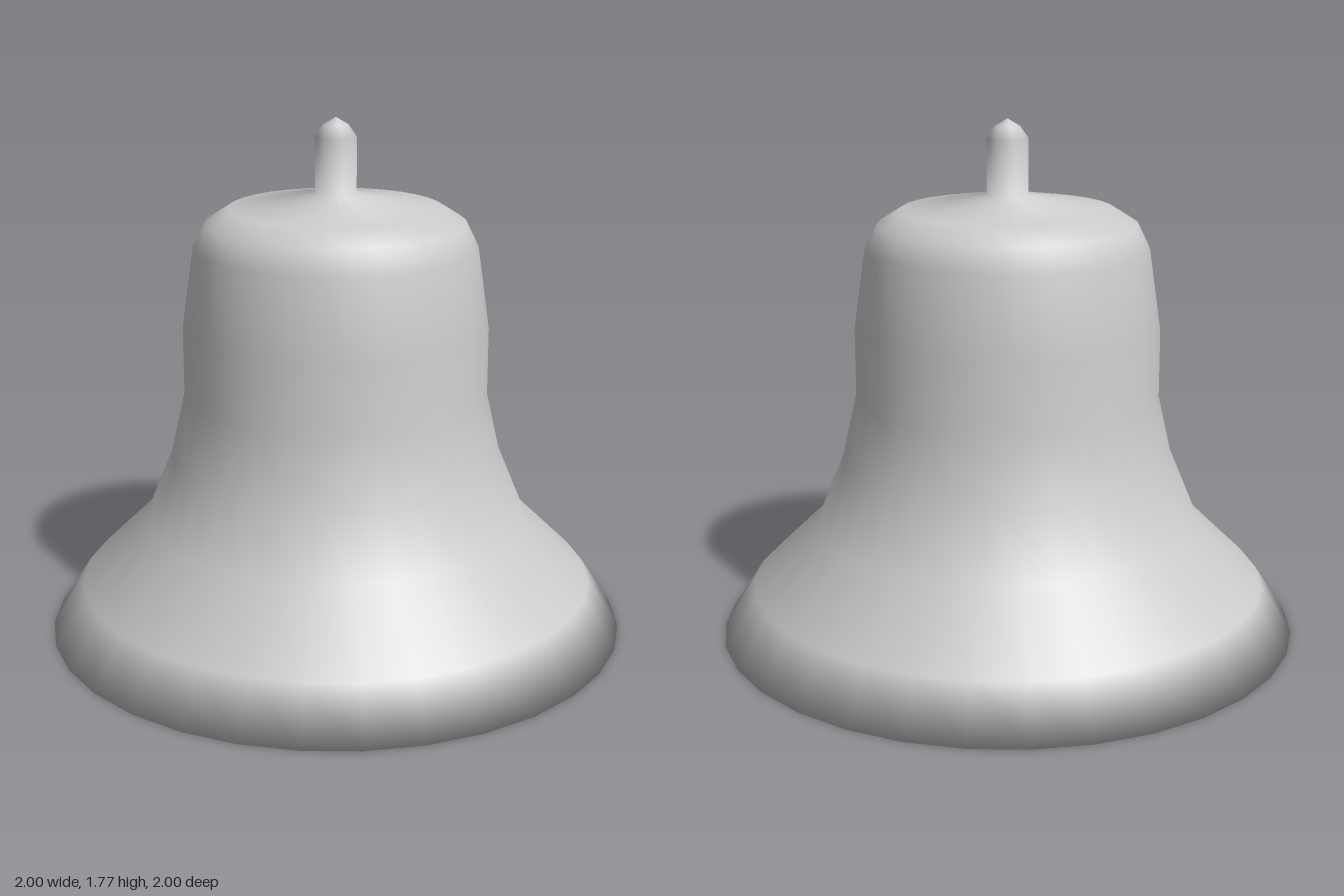
import * as THREE from 'three';

export function createModel() {
  const group = new THREE.Group();
  const material = new THREE.MeshStandardMaterial({ color: 0xcccccc, side: THREE.DoubleSide });

  // Outer wall from the rim up to the shoulder: [radius, height]
  const wall = [
    [1, 0], [0.89, 0.17], [0.665, 0.39], [0.57, 0.62], [0.52, 0.84],
    [0.52, 1.07], [0.48, 1.345], [0.44, 1.425], [0.36, 1.475],
  ];
  // Hanger post with a rounded tip
  const post = [[0.07, 1.525], [0.07, 1.71], [0.042, 1.75], [0, 1.775]];

  // Thin hollow inside, following the outer wall down to a sharp rim
  const thickness = 0.02;
  const inside = wall.slice(1).reverse().map(([r, y]) => [r - thickness, y - thickness * 0.5]);
  const profile = [[0, 1.5], ...inside, ...wall, ...post].map(([r, y]) => new THREE.Vector2(r, y));

  // One smooth turned shell: inside, rim, outside and post
  const bell = new THREE.Mesh(new THREE.LatheGeometry(profile, 32), material);
  bell.name = 'bell';
  group.add(bell);
  return group;
}
